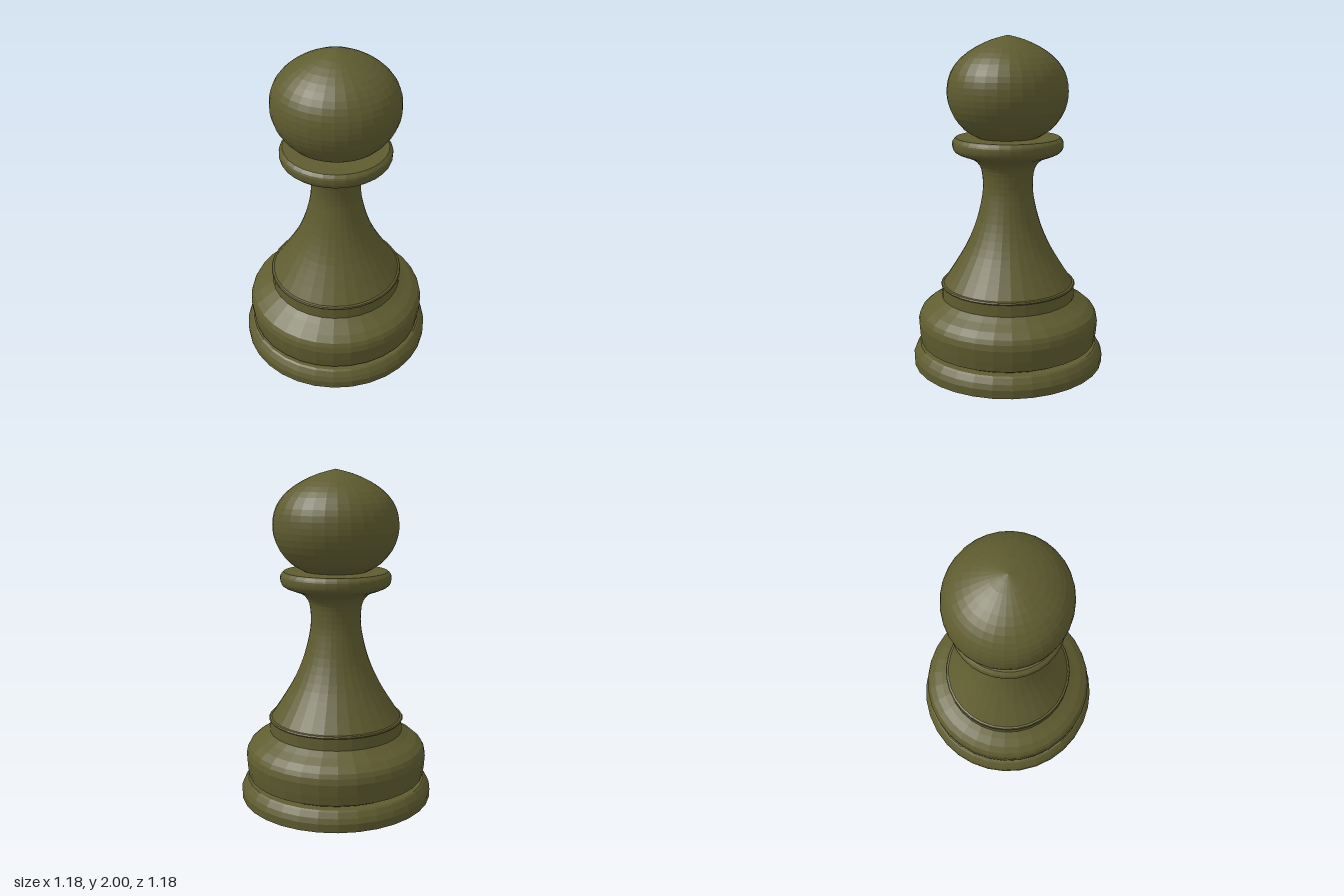
import * as THREE from 'three';

const SIDES = 32;

const v2 = (pts) => pts.map(([r, y]) => new THREE.Vector2(r, y));
const smooth = (pts, n) => new THREE.SplineCurve(v2(pts)).getPoints(n);

export function createModel() {
  const group = new THREE.Group();
  const olive = new THREE.MeshStandardMaterial({ color: 0x5f5c30 });
  olive.name = 'olive';
  olive.flatShading = true;

  // Turn a bottom-to-top profile of [radius, height] around the vertical axis
  const turn = (name, points) => {
    const mesh = new THREE.Mesh(new THREE.LatheGeometry(points, SIDES), olive);
    mesh.name = name;
    group.add(mesh);
    return mesh;
  };

  // Foot with closed underside and the groove above it
  turn('foot', v2([
    [0, 0], [0.59, 0], [0.592, 0.05], [0.58, 0.08], [0.56, 0.11], [0.55, 0.118], [0.5, 0.118],
  ]));

  // Bulging lower base
  turn('base', v2([
    [0.5, 0.118], [0.545, 0.142], [0.553, 0.2], [0.558, 0.27], [0.55, 0.305],
    [0.537, 0.33], [0.5, 0.362], [0.45, 0.392], [0.41, 0.42],
  ]));

  // Straight band with a small lip
  turn('band', v2([[0.41, 0.42], [0.408, 0.49], [0.415, 0.498], [0.41, 0.505], [0.398, 0.508]]));

  // Flared stem
  turn('stem', smooth([
    [0.398, 0.508], [0.325, 0.62], [0.255, 0.74], [0.2, 0.87], [0.165, 1.0],
    [0.151, 1.1], [0.158, 1.2], [0.182, 1.25], [0.22, 1.28],
  ], 22));

  // Collar under the head
  turn('collar', [
    ...smooth([
      [0.22, 1.28], [0.275, 1.3], [0.31, 1.315], [0.328, 1.335],
      [0.333, 1.36], [0.33, 1.385], [0.312, 1.405],
    ], 14),
    new THREE.Vector2(0.18, 1.407),
  ]);

  // Head, slightly narrower front to back, with a faint point on top
  const head = turn('head', smooth([
    [0.19, 1.405], [0.27, 1.452], [0.335, 1.53], [0.368, 1.61], [0.375, 1.68],
    [0.365, 1.75], [0.335, 1.815], [0.28, 1.876], [0.2, 1.93], [0.1, 1.974], [0, 2],
  ], 20));
  head.scale.z = 0.953;

  return group;
}
